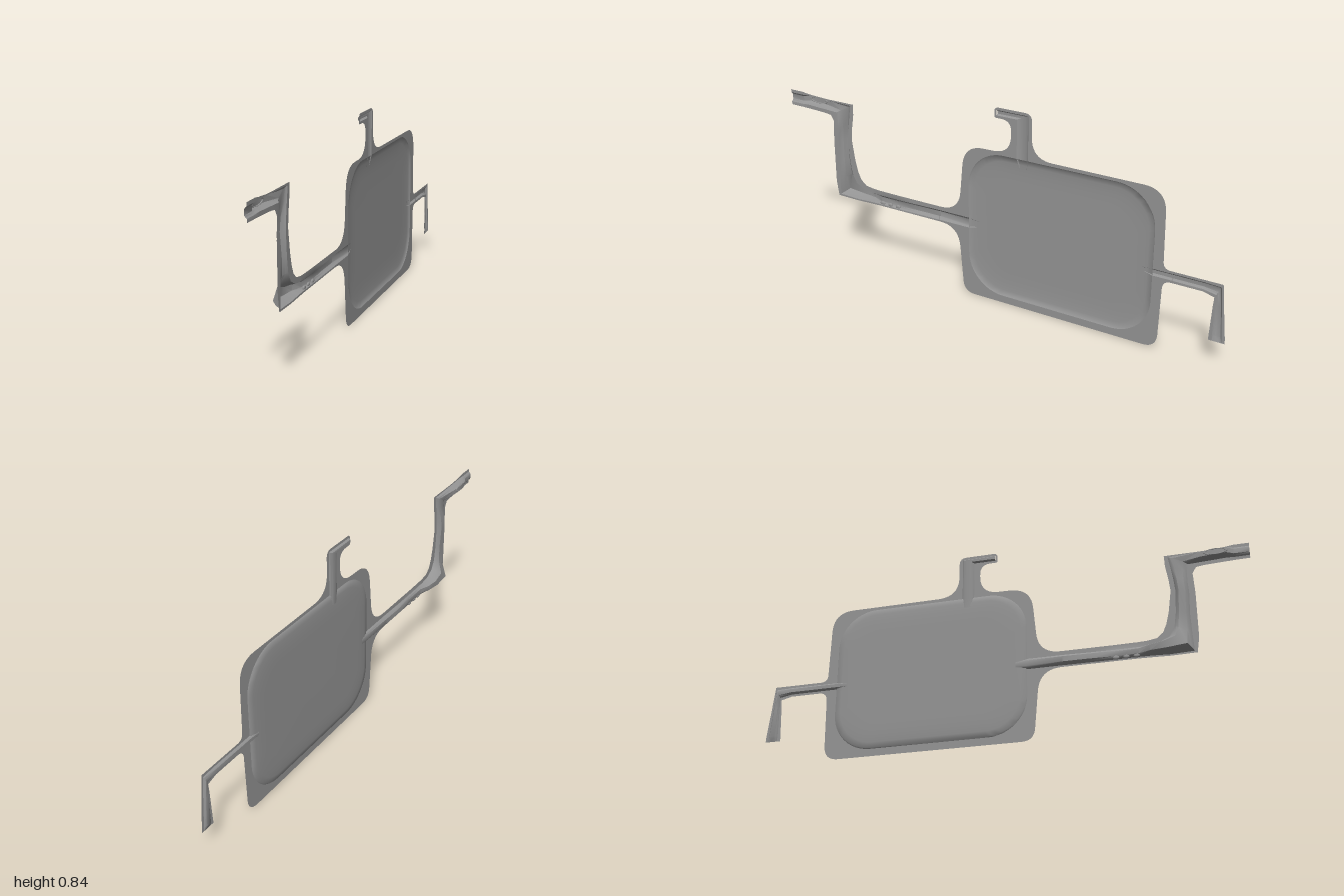
import * as THREE from 'three';
import { toCreasedNormals } from 'three/addons/utils/BufferGeometryUtils.js';

const FACE = 0.019; // x of the flat flange plane
const material = new THREE.MeshStandardMaterial({ color: 0x949494, side: THREE.DoubleSide });

function addMesh(group, name, geometry) {
  const mesh = new THREE.Mesh(geometry, material);
  mesh.name = name;
  group.add(mesh);
  return mesh;
}

// Surface through equally long rows of [x, y, z] points
function loft(rows, closed = false) {
  const n = rows[0].length, index = [];
  for (let r = 0; r + 1 < rows.length; r++) {
    for (let i = 0; i < (closed ? n : n - 1); i++) {
      const j = (i + 1) % n, a = r * n + i, b = r * n + j;
      index.push(a, b, a + n, b, b + n, a + n);
    }
  }
  const g = new THREE.BufferGeometry();
  g.setAttribute('position', new THREE.Float32BufferAttribute(rows.flat(2), 3));
  g.setIndex(index);
  return toCreasedNormals(g, 0.6);
}

// Pressed channel; station = [zA, yA, zB, yB, x of floor, flat lip at A, flat lip at B, x of edges]
function channel(stations, lip) {
  return loft(stations.map(([za, ya, zb, yb, floor, lipA = lip, lipB = lip, edge = FACE]) => {
    const w = 1 - lipA - lipB;
    const section = [[0, 0], [lipA, 0], [lipA + w * 0.1, 0.55], [lipA + w * 0.25, 1],
      [1 - lipB - w * 0.25, 1], [1 - lipB - w * 0.1, 0.55], [1 - lipB, 0], [1, 0]];
    return section.map(([t, h]) => [edge + (floor - edge) * h, ya + (yb - ya) * t, za + (zb - za) * t]);
  }));
}

// Closed outline from corners [z, y, radius]
function roundedOutline(corners) {
  const shape = new THREE.Shape();
  const n = corners.length;
  corners.forEach(([z, y, r], i) => {
    const p = new THREE.Vector2(z, y);
    const toward = (c) => p.clone().add(new THREE.Vector2(c[0] - z, c[1] - y).setLength(r));
    const a = r ? toward(corners[(i + n - 1) % n]) : p;
    const b = r ? toward(corners[(i + 1) % n]) : p;
    if (i === 0) shape.moveTo(a.x, a.y); else shape.lineTo(a.x, a.y);
    if (r) shape.quadraticCurveTo(z, y, b.x, b.y);
  });
  shape.closePath();
  return shape;
}

// Rounded rectangle of the panel, inset from its rim, as four corner arcs of [z, y]
function panelArcs(inset) {
  const z0 = -0.70 + inset, z1 = 0.105 - inset, y0 = 0.035 + inset, y1 = 0.65 - inset;
  const r = 0.16 - inset * 0.6, steps = 12;
  return [[z1 - r, y1 - r], [z0 + r, y1 - r], [z0 + r, y0 + r], [z1 - r, y0 + r]].map(([cz, cy], q) =>
    Array.from({ length: steps + 1 }, (_, i) => {
      const a = (q + i / steps) * Math.PI / 2;
      return [cz + r * Math.cos(a), cy + r * Math.sin(a)];
    }));
}

export function createModel() {
  const group = new THREE.Group();

  // Flat flange with fillets toward the arms and the top hook
  const outline = roundedOutline([
    [0.13, 0.004, 0.05], [-0.735, 0.004, 0.06],
    [-0.742, 0.297, 0.035], [-0.78, 0.297, 0], [-0.78, 0.345, 0], [-0.742, 0.345, 0.03],
    [-0.735, 0.662, 0.09], [-0.18, 0.664, 0.09],
    [-0.18, 0.843, 0.03], [-0.015, 0.843, 0.02], [-0.015, 0.8, 0.01], [-0.09, 0.8, 0.045],
    [-0.09, 0.664, 0.08], [0.125, 0.66, 0.09],
    [0.152, 0.365, 0.09], [0.25, 0.365, 0], [0.25, 0.297, 0], [0.155, 0.297, 0.09],
  ]);
  // Opening for the dish, with slots where the channels run through
  const arcs = panelArcs(0);
  const slots = [
    [[-0.115, 0.65], [-0.115, 0.81], [-0.025, 0.81], [-0.025, 0.832], [-0.165, 0.832], [-0.165, 0.65]],
    [[-0.70, 0.335], [-0.779, 0.335], [-0.779, 0.307], [-0.70, 0.307]],
    [],
    [[0.105, 0.304], [0.249, 0.304], [0.249, 0.348], [0.105, 0.348]],
  ];
  const opening = arcs.flatMap((arc, i) => [...arc, ...slots[i]]);
  outline.holes.push(new THREE.Path(opening.map(([z, y]) => new THREE.Vector2(z, y))));
  const flange = new THREE.ShapeGeometry(outline, 10);
  const p = flange.attributes.position;
  for (let i = 0; i < p.count; i++) p.setXYZ(i, FACE, p.getY(i), p.getX(i));
  flange.computeVertexNormals();
  addMesh(group, 'panelFlange', flange);

  // Shallow dished panel with a soft sloping border
  const rings = [[0, FACE], [0.004, 0.0155], [0.025, 0.0128], [0.05, 0.0112], [0.075, 0.0103], [0.1, 0.01]]
    .map(([inset, x]) => panelArcs(inset).flat().map(([z, y]) => [x, y, z]));
  rings.push(rings[0].map(() => [0.01, 0.342, -0.297]));
  addMesh(group, 'dishedPanel', loft(rings, true));

  // Channels crossing the flange, sinking into the dish
  addMesh(group, 'frontInletChannel', channel([
    [0.06, 0.338, 0.06, 0.314, 0.011, 0, 0, 0.0115], [0.105, 0.348, 0.105, 0.304, 0.01],
    [0.25, 0.348, 0.25, 0.304, 0.006]], 0));
  addMesh(group, 'rearInletChannel', channel([
    [-0.655, 0.329, -0.655, 0.313, 0.011, 0, 0, 0.0115], [-0.70, 0.335, -0.70, 0.307, 0.011],
    [-0.78, 0.335, -0.78, 0.307, 0.011]], 0));
  addMesh(group, 'topHookChannel', channel([
    [-0.125, 0.605, -0.155, 0.605, 0.011, 0, 0, 0.0115], [-0.115, 0.65, -0.165, 0.65, 0.011],
    [-0.115, 0.81, -0.165, 0.832, 0.011], [-0.025, 0.81, -0.025, 0.832, 0.012]], 0));

  // Long stepped front arm with its deep elbow
  addMesh(group, 'frontArm', channel([
    [0.25, 0.365, 0.25, 0.297, 0.006, 0.25, 0.1], [0.35, 0.365, 0.35, 0.297, 0.006, 0.28, 0.1],
    [0.45, 0.365, 0.45, 0.297, 0.01, 0.3, 0.1], [0.55, 0.366, 0.55, 0.297, 0.008, 0.3, 0.1],
    [0.585, 0.368, 0.6, 0.296, -0.01, 0.28, 0.1], [0.62, 0.374, 0.67, 0.294, -0.019, 0.25, 0.08],
    [0.645, 0.395, 0.77, 0.296, -0.019, 0.2, 0.08], [0.66, 0.43, 0.78, 0.36, 0.002, 0.25],
    [0.672, 0.48, 0.78, 0.45, 0.006, 0.25, 0.25], [0.685, 0.57, 0.78, 0.55, 0.002, 0.2, 0.25],
    [0.68, 0.62, 0.777, 0.60, 0.004, 0.2, 0.25], [0.67, 0.68, 0.775, 0.635, 0.01],
    [0.668, 0.727, 0.79, 0.66, 0.01, 0.12, 0.25], [0.80, 0.727, 0.82, 0.664, -0.005, 0.08, 0.25],
    [0.85, 0.728, 0.86, 0.666, -0.009, 0.08, 0.25], [0.91, 0.733, 0.91, 0.668, -0.007, 0.12, 0.25],
    [0.94, 0.737, 0.94, 0.669, 0.008], [1, 0.737, 1, 0.67, 0.01]], 0.2));

  // Rear arm with the hanging foot
  addMesh(group, 'rearArm', channel([
    [-0.78, 0.345, -0.78, 0.297, 0.011], [-0.9, 0.345, -0.9, 0.297, 0.011], [-0.975, 0.345, -0.945, 0.285, 0.011],
    [-0.985, 0.25, -0.942, 0.25, 0.011], [-0.999, 0.125, -0.936, 0.125, 0.012], [-1, 0.105, -0.935, 0.105, FACE]], 0.2));

  // Oval bead near the tip of the front arm
  const bead = addMesh(group, 'ovalBead', new THREE.TorusGeometry(0.03, 0.004, 8, 32));
  bead.rotation.y = Math.PI / 2;
  bead.scale.set(1.4, 0.4, 0.7);
  bead.position.set(-0.006, 0.704, 0.87);

  // Small stiffening bumps along the lower edge of the front arm
  for (const z of [0.46, 0.5, 0.54]) {
    const bump = addMesh(group, 'armBump', new THREE.SphereGeometry(0.01, 12, 8));
    bump.scale.set(0.5, 0.9, 1.3);
    bump.position.set(0.013, 0.309, z);
  }
  return group;
}
